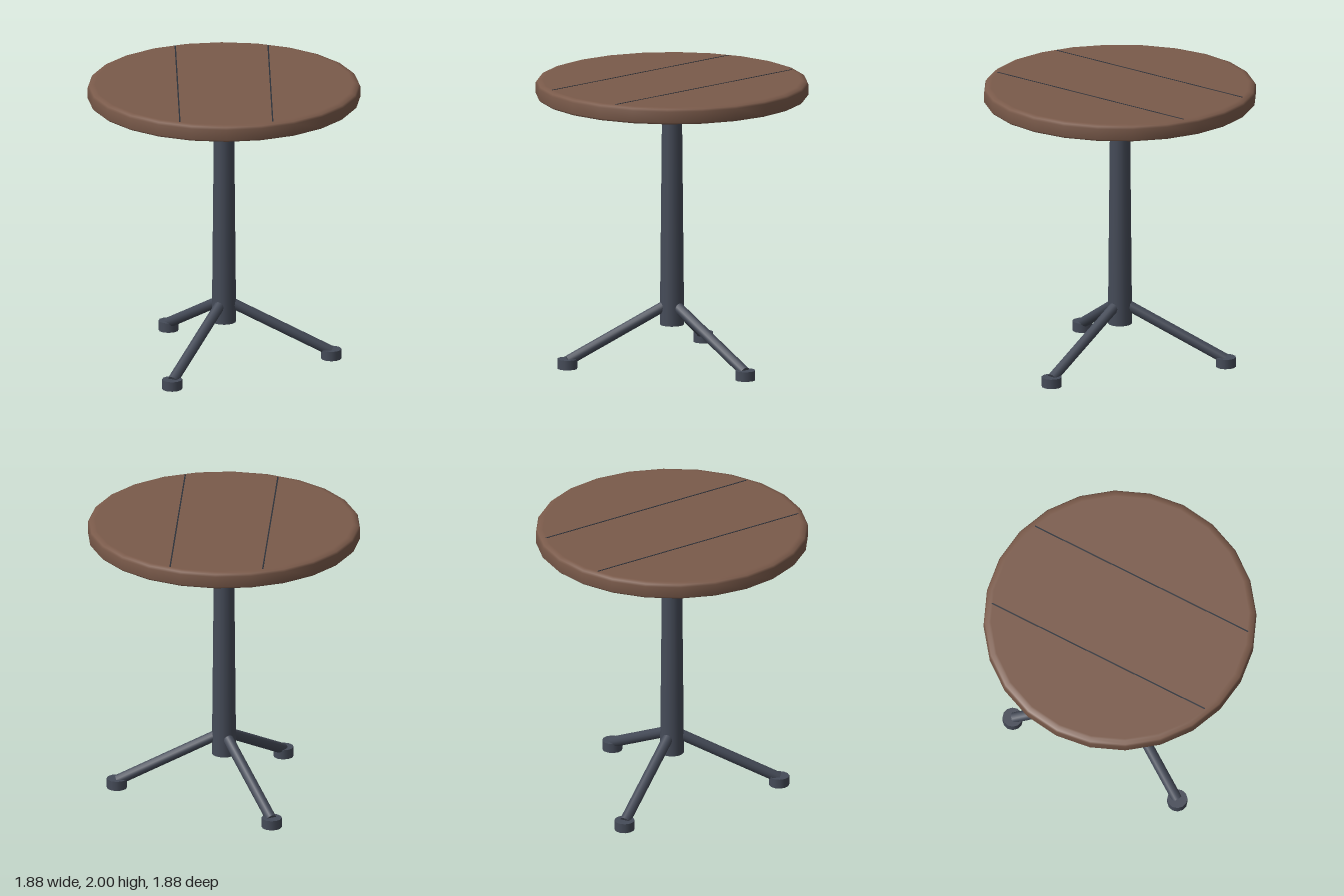
import * as THREE from 'three';

const material = (name, color) => {
  const m = new THREE.MeshStandardMaterial({ color });
  m.name = name;
  return m;
};

export function createModel() {
  const wood = material('brown wood', 0x7a5a4a);
  const metal = material('dark steel', 0x454b58);
  const seam = material('dark seam', 0x2c313a);
  const table = new THREE.Group();
  table.name = 'roundTable';

  const add = (name, geometry, mat, x = 0, y = 0, z = 0, parent = table) => {
    const mesh = new THREE.Mesh(geometry, mat);
    mesh.name = name;
    mesh.position.set(x, y, z);
    parent.add(mesh);
    return mesh;
  };

  // Round top with softened edges; close points keep the flat faces flat
  const profile = [
    [0, 1.875], [0.86, 1.875], [0.875, 1.875], [0.925, 1.885], [0.94, 1.9],
    [0.94, 1.975], [0.93, 1.99], [0.905, 1.998], [0.89, 1.998], [0, 1.998],
  ].map(([r, y]) => new THREE.Vector2(r, y));
  add('tableTop', new THREE.LatheGeometry(profile, 24), wood);

  // Plank seams in the top
  for (const side of [-1, 1]) {
    add('plankSeam', new THREE.BoxGeometry(0.009, 0.004, 1.66), seam, side * 0.32, 1.998, 0);
  }

  // Mounting plate and tapered column
  add('mountingPlate', new THREE.CylinderGeometry(0.43, 0.43, 0.075, 20), metal, 0, 1.8175, 0);
  add('column', new THREE.CylinderGeometry(0.068, 0.084, 1.61, 16), metal, 0, 1.08, 0);

  // Three splayed legs with round feet
  const start = new THREE.Vector3(0.05, 0.41, 0);
  const end = new THREE.Vector3(0.735, 0.055, 0);
  const direction = end.clone().sub(start);
  const up = new THREE.Vector3(0, 1, 0);
  for (let i = 0; i < 3; i++) {
    const leg = new THREE.Group();
    leg.name = 'leg';
    leg.rotation.y = (i * Math.PI * 2) / 3;
    table.add(leg);
    const mid = start.clone().add(end).multiplyScalar(0.5);
    const strut = add('legStrut', new THREE.CylinderGeometry(0.037, 0.037, direction.length(), 12),
      metal, mid.x, mid.y, mid.z, leg);
    strut.quaternion.setFromUnitVectors(up, direction.clone().normalize());
    add('foot', new THREE.CylinderGeometry(0.07, 0.07, 0.068, 12), metal, 0.74, 0.034, 0, leg);
  }
  return table;
}
